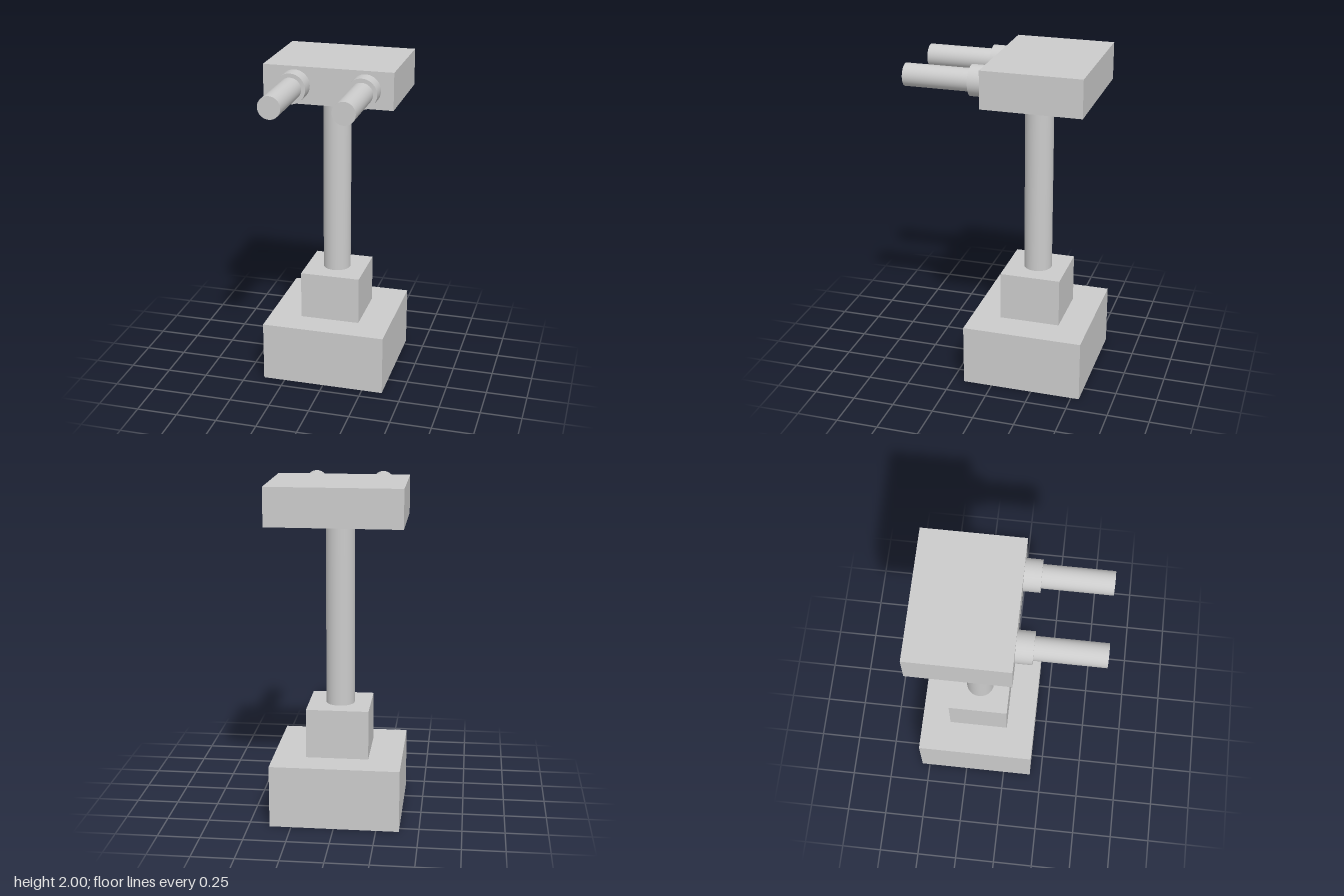
import * as THREE from 'three';

const material = new THREE.MeshStandardMaterial({ color: 0xcccccc });

function addPart(group, name, geometry, x, y, z) {
  const mesh = new THREE.Mesh(geometry, material);
  mesh.name = name;
  mesh.position.set(x, y, z);
  group.add(mesh);
  return mesh;
}

// Box given by its lower and upper limits on each axis
function addBox(group, name, [x0, x1], [y0, y1], [z0, z1]) {
  const geometry = new THREE.BoxGeometry(x1 - x0, y1 - y0, z1 - z0);
  return addPart(group, name, geometry, (x0 + x1) / 2, (y0 + y1) / 2, (z0 + z1) / 2);
}

// Cylinder lying along z
function addRod(group, name, radius, x, y, z0, z1) {
  const geometry = new THREE.CylinderGeometry(radius, radius, z1 - z0, 32).rotateX(Math.PI / 2);
  return addPart(group, name, geometry, x, y, (z0 + z1) / 2);
}

export function createModel() {
  const model = new THREE.Group();
  model.name = 'twinBarrelTurret';

  // Stepped base
  addBox(model, 'base', [-0.385, 0.377], [0, 0.372], [-0.549, 0.177]);
  addBox(model, 'pedestal', [-0.188, 0.181], [0.372, 0.668], [-0.367, 0.001]);

  // Column
  const bottom = 0.668, top = 1.776;
  addPart(model, 'column', new THREE.CylinderGeometry(0.085, 0.085, top - bottom, 32),
    -0.005, (bottom + top) / 2, -0.185);

  // Head
  addBox(model, 'head', [-0.39, 0.39], [top, 2], [-0.533, 0.057]);

  // Two barrels, each with a collar at the head
  for (const [side, x] of [['right', -0.198], ['left', 0.224]]) {
    const barrel = new THREE.Group();
    barrel.name = side + 'BarrelAssembly';
    addRod(barrel, side + 'Collar', 0.091, x, 1.889, 0.057, 0.153);
    addRod(barrel, side + 'Barrel', 0.067, x, 1.889, 0.153, 0.55);
    model.add(barrel);
  }
  return model;
}
